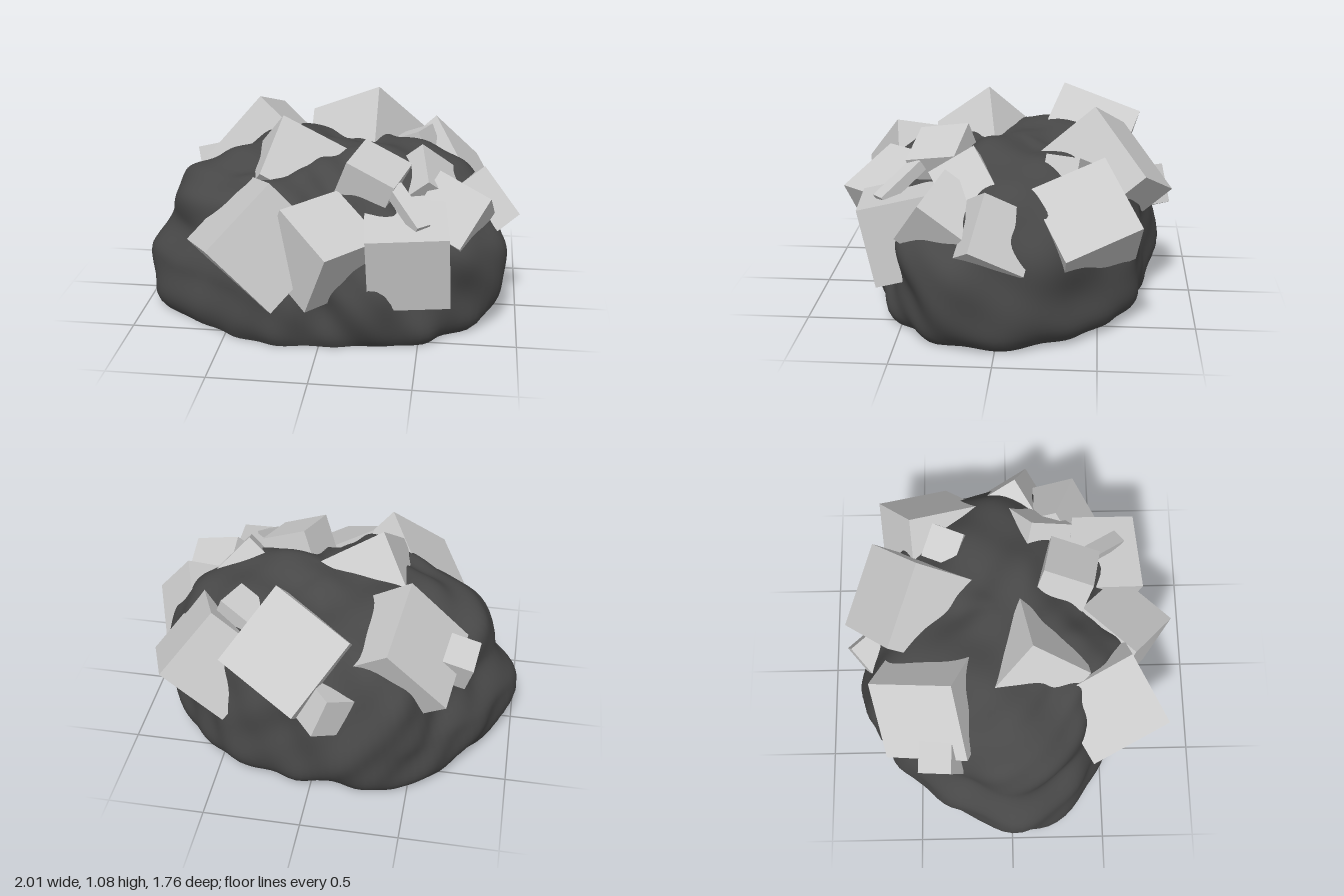
import * as THREE from 'three';
import { mergeVertices, toCreasedNormals } from 'three/addons/utils/BufferGeometryUtils.js';

const rockMaterial = new THREE.MeshStandardMaterial({ color: 0x484848 });
const crystalMaterial = new THREE.MeshStandardMaterial({ color: 0xcccccc });
const ROCK_HEIGHT = 0.88;
const { smoothstep } = THREE.MathUtils;

// Rock outline seen from above: radius every 20 degrees, from +x towards +z
const OUTLINE = [0.95, 0.94, 0.81, 0.73, 0.7, 0.7, 0.72, 0.79, 0.94, 1,
  0.92, 0.89, 0.9, 0.8, 0.76, 0.84, 0.83, 0.9];

// Smooth closed interpolation of the outline
function outlineRadius(angle) {
  const n = OUTLINE.length;
  const t = ((angle / (Math.PI * 2)) * n + n) % n;
  const i = Math.floor(t), f = t - i;
  const [a, b, c, d] = [-1, 0, 1, 2].map((k) => OUTLINE[(i + k + n) % n]);
  return b + 0.5 * f * (c - a + f * (2 * a - 5 * b + 4 * c - d + f * (3 * (b - c) + d - a)));
}

// Smooth lumps on the rock surface
function lumps(x, y, z) {
  return 0.4 * Math.sin(5.1 * x + 3 * y + 1.2) * Math.sin(4.7 * z - 4 * y + 0.6)
    + 0.3 * Math.sin(8 * x - 6 * z + 3 * y) * Math.cos(7 * z + 9 * y + 1)
    + 0.2 * Math.sin(15 * x + 5 * y) * Math.sin(13 * z - 16 * y + 2);
}

// Flat-bottomed dome: steep sides, tucked-in foot, broad top
function buildRock() {
  const profile = [new THREE.Vector2(0, 0)];
  const steps = 60;
  for (let i = 0; i <= steps; i++) {
    const t = 1 - (1 - i / steps) ** 2;
    profile.push(new THREE.Vector2((1 - t ** 6) ** 0.4 * (1 - 0.05 * t), ROCK_HEIGHT * t));
  }
  let geometry = new THREE.LatheGeometry(profile, 120);
  const pos = geometry.attributes.position;
  for (let i = 0; i < pos.count; i++) {
    const x = pos.getX(i), y = pos.getY(i), z = pos.getZ(i);
    const angle = Math.atan2(z, x);
    const n = lumps(x, y, z);
    // The foot tucks in least on the right; the upper right steps back to a ledge
    const tuck = (0.115 + 0.035 * Math.cos(angle) - 0.03 * Math.sin(angle)) * Math.exp(-13 * y);
    const ledge = 0.12 * Math.max(0, Math.cos(angle - 2.8)) * smoothstep(y, 0.28, 0.5);
    const r = Math.hypot(x, z) * (outlineRadius(angle) * (1 - tuck - ledge) + 0.07 * n);
    // The top is uneven and sinks towards the front left
    const sink = 0.09 * smoothstep(z, 0.05, 0.4) * smoothstep(x, -0.2, 0.2);
    const lift = smoothstep(y, 0.2, 0.85) * (0.06 * n - sink);
    pos.setXYZ(i, r * Math.cos(angle), y + lift, r * Math.sin(angle));
  }
  geometry.deleteAttribute('normal');
  geometry.deleteAttribute('uv');
  geometry = toCreasedNormals(mergeVertices(geometry, 1e-4), 0.8);
  const rock = new THREE.Mesh(geometry, rockMaterial);
  rock.name = 'rock';
  return rock;
}

// Box turned by heading, then pitch, then roll about its own x edge
function crystal(name, center, [heading, pitch, roll], width, height = width, depth = width) {
  const mesh = new THREE.Mesh(new THREE.BoxGeometry(width, height, depth), crystalMaterial);
  mesh.rotation.set(roll, heading, pitch, 'YZX');
  mesh.position.set(...center);
  mesh.name = name;
  return mesh;
}

export function createModel() {
  const group = new THREE.Group();
  group.name = 'crystalRock';
  group.add(
    buildRock(),
    // Large cubes around the rim
    crystal('frontLeftCube', [0.43, 0.48, 0.47], [0.09, 0.05, 0.21], 0.41),
    crystal('frontMiddleCube', [0.01, 0.51, 0.57], [2.42, 0.47, 3.1], 0.37),
    crystal('frontRightCube', [-0.32, 0.51, 0.5], [0.64, 0.69, -1.87], 0.455),
    crystal('topCube', [-0.21, 0.74, 0.12], [0.17, -0.51, 2.31], 0.38),
    crystal('backCube', [0.13, 0.69, -0.5], [0.815, -0.69, -2.12], 0.46),
    crystal('backLeftCube', [0.56, 0.57, -0.42], [1.94, 0.32, 2.36], 0.41),
    crystal('backRightCube', [-0.39, 0.68, -0.4], [1.42, -0.32, 2.24], 0.45),
    // Medium cubes on the front left slope
    crystal('leftCube', [0.74, 0.55, 0.03], [-0.34, -0.86, -2.39], 0.31),
    crystal('innerLeftCube', [0.65, 0.6, 0.26], [-0.38, -0.36, 0.91], 0.3),
    crystal('upperLeftCube', [0.49, 0.72, 0.15], [-0.28, 0.69, 0.69], 0.26),
    crystal('upperFrontCube', [0.23, 0.78, 0.3], [-0.2, -0.41, -1.38], 0.27),
    // Small cubes and a splinter
    crystal('smallBackLeftCube', [0.43, 0.78, -0.33], [-0.39, 0.41, 1.57], 0.18),
    crystal('smallRightCube', [-0.69, 0.65, -0.36], [-0.05, 0.25, 1.25], 0.18),
    crystal('smallBackCube', [-0.08, 0.56, -0.71], [0.74, 0.41, 1.49], 0.21),
    crystal('shard', [0.43, 0.73, 0.51], [-0.84, -0.56, 0.05], 0.28, 0.06, 0.08),
  );
  return group;
}
